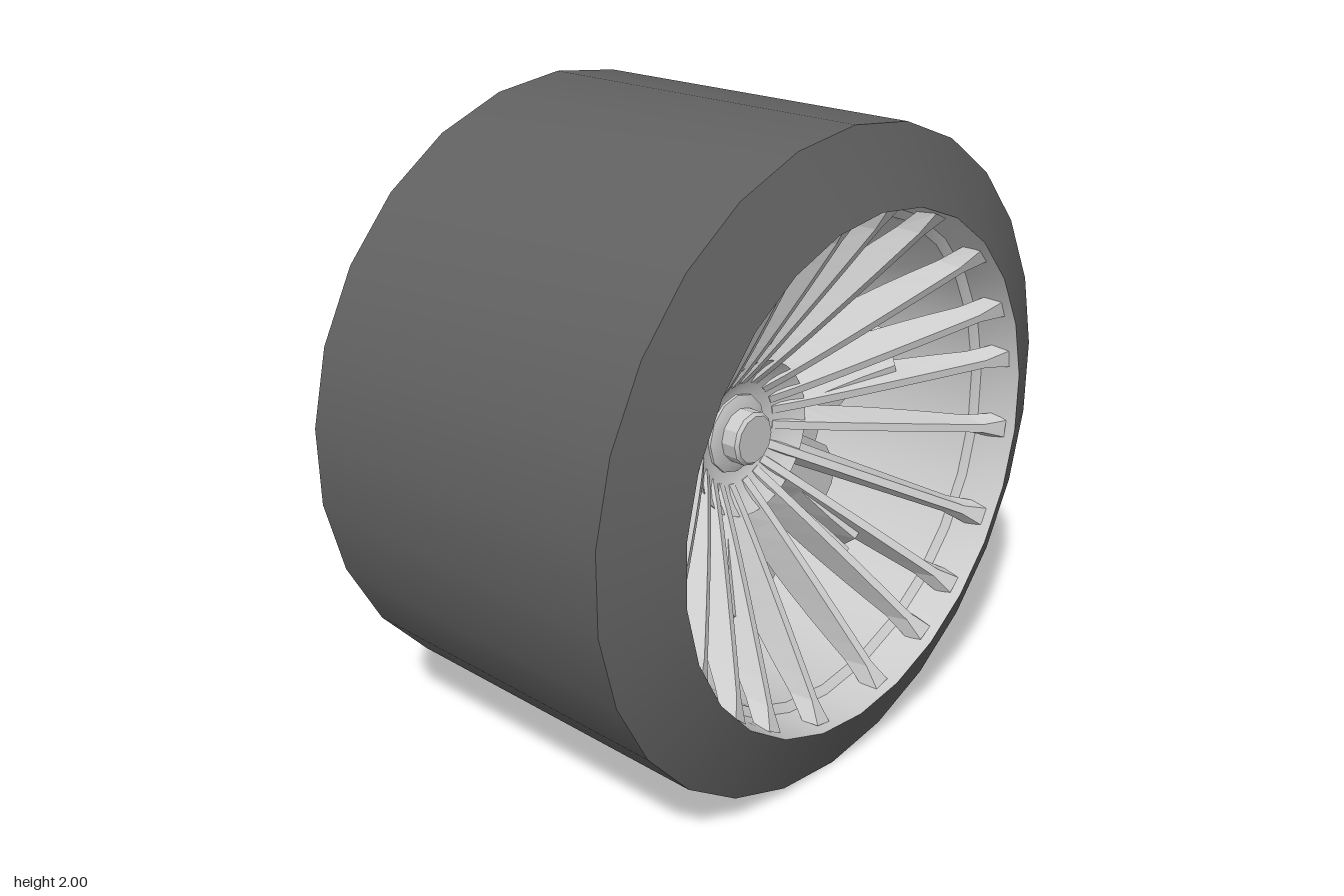
import * as THREE from 'three';
import { toCreasedNormals } from 'three/addons/utils/BufferGeometryUtils.js';

const SIDES = 26;
const grey = new THREE.MeshStandardMaterial({ color: 0xcccccc });
const flatGrey = new THREE.MeshStandardMaterial({ color: 0xcccccc, flatShading: true });
const rubber = new THREE.MeshStandardMaterial({ color: 0x606060 });
const deg = THREE.MathUtils.degToRad;

function add(parent, name, geometry, material) {
  const mesh = new THREE.Mesh(geometry, material);
  mesh.name = name;
  parent.add(mesh);
  return mesh;
}

// Lathe around the x axle from [radius, x] pairs, with sharp corners kept.
function turned(profile, sides = SIDES, crease = 0.4) {
  const points = profile.map(([r, x]) => new THREE.Vector2(r, x));
  const geometry = new THREE.LatheGeometry(points, sides, -Math.PI / 2).rotateZ(-Math.PI / 2);
  return toCreasedNormals(geometry, crease);
}

// Tapered blade running outwards along +y. section(t) gives radius, front x, depth and widths.
function blade(section, segments) {
  const geometry = new THREE.BoxGeometry(1, 1, 1, 1, segments, 1);
  const p = geometry.attributes.position;
  for (let i = 0; i < p.count; i++) {
    const s = section(p.getY(i) + 0.5);
    const isFront = p.getX(i) > 0;
    p.setXYZ(i, isFront ? s.x : s.x - s.depth, s.r, p.getZ(i) * (isFront ? s.front : s.back));
  }
  geometry.computeVertexNormals();
  return geometry;
}

const spokeGeometry = blade((t) => ({
  r: 0.16 + 0.61 * t,
  x: 0.125 + 0.465 * Math.pow(t, 0.95),
  depth: 0.05 + 0.09 * Math.sin(Math.PI * Math.min(1, t * 0.85 + 0.15)),
  front: 0.026 + 0.03 * Math.max(0, (t - 0.9) / 0.1),
  back: 0.08 - 0.03 * t + 0.03 * Math.max(0, (t - 0.9) / 0.1),
}), 10);

// Bars lying in the slot between the two middle spokes, almost level with their fronts.
const barGeometry = blade((t) => ({
  r: 0.23 + 0.37 * t,
  x: 0.18 + 0.22 * t - 0.14 * Math.max(0, t - 0.75) / 0.25,
  depth: 0.15 - 0.09 * t,
  front: 0.01 + 0.018 * Math.sin(Math.PI * t),
  back: 0.02 + 0.03 * Math.sin(Math.PI * t),
}), 4);

// Rounded lobe that reaches past the brake disc.
function lobeGeometry() {
  const outline = [[-0.05, 0.2], [0.05, 0.2], [0.12, 0.42], [0.135, 0.57], [0.1, 0.65],
    [0.04, 0.69], [-0.04, 0.69], [-0.1, 0.65], [-0.135, 0.57], [-0.12, 0.42]];
  const shape = new THREE.Shape(outline.map(([z, r]) => new THREE.Vector2(z, r)));
  return new THREE.ExtrudeGeometry(shape, { depth: 0.04, bevelEnabled: false })
    .rotateY(Math.PI / 2).translate(0.01, 0, 0);
}

export function createModel() {
  const model = new THREE.Group();
  model.name = 'wheel';
  const wheel = new THREE.Group();
  wheel.name = 'wheelAssembly';
  wheel.position.y = 1;
  model.add(wheel);

  // Tyre and the barrel inside it, stepped behind the spoke tips
  add(wheel, 'tyre', turned([[0.735, -0.62], [1, -0.62], [1, 0.52], [0.78, 0.62]]), rubber);
  add(wheel, 'rimBarrel', turned([[0.78, 0.62], [0.765, 0.49], [0.74, 0.47], [0.735, -0.62]]), grey);

  // Backing plate, seen only from the inner side
  add(wheel, 'backPlate', new THREE.CircleGeometry(0.737, SIDES).rotateY(-Math.PI / 2), grey)
    .position.x = -0.03;

  // Brake disc
  add(wheel, 'brakeDisc', turned([[0.58, -0.02], [0.58, 0.01], [0, 0.01]], 24), grey);

  // Dished hub with its centre nut
  add(wheel, 'hub', turned([[0.18, 0], [0.235, 0.13], [0.245, 0.185], [0.22, 0.16],
    [0.19, 0.137], [0.155, 0.12], [0.12, 0.11], [0, 0.11]], 40, 0.6), grey);
  add(wheel, 'hubCollar', turned([[0.125, 0.1], [0.125, 0.12], [0.1, 0.13], [0, 0.13]], 12), grey);
  add(wheel, 'centreNut', turned([[0.085, 0.12], [0.085, 0.18], [0.075, 0.19], [0, 0.19]], 12), grey);

  // Five groups of four spokes, each with a slotted pair of bars and two lobes
  const lobe = lobeGeometry();
  for (let i = 0; i < 5; i++) {
    const sector = new THREE.Group();
    sector.name = 'spokeGroup';
    sector.rotation.x = deg(72 * i);
    wheel.add(sector);
    for (const side of [-1, 1]) {
      for (const angle of [7, 25]) {
        add(sector, 'spoke', spokeGeometry, flatGrey).rotation.x = deg(side * angle);
      }
      add(sector, 'slotBar', barGeometry, flatGrey).position.z = side * 0.03;
      add(sector, 'backLobe', lobe, flatGrey).rotation.x = deg(side * 17);
    }
  }
  return model;
}
